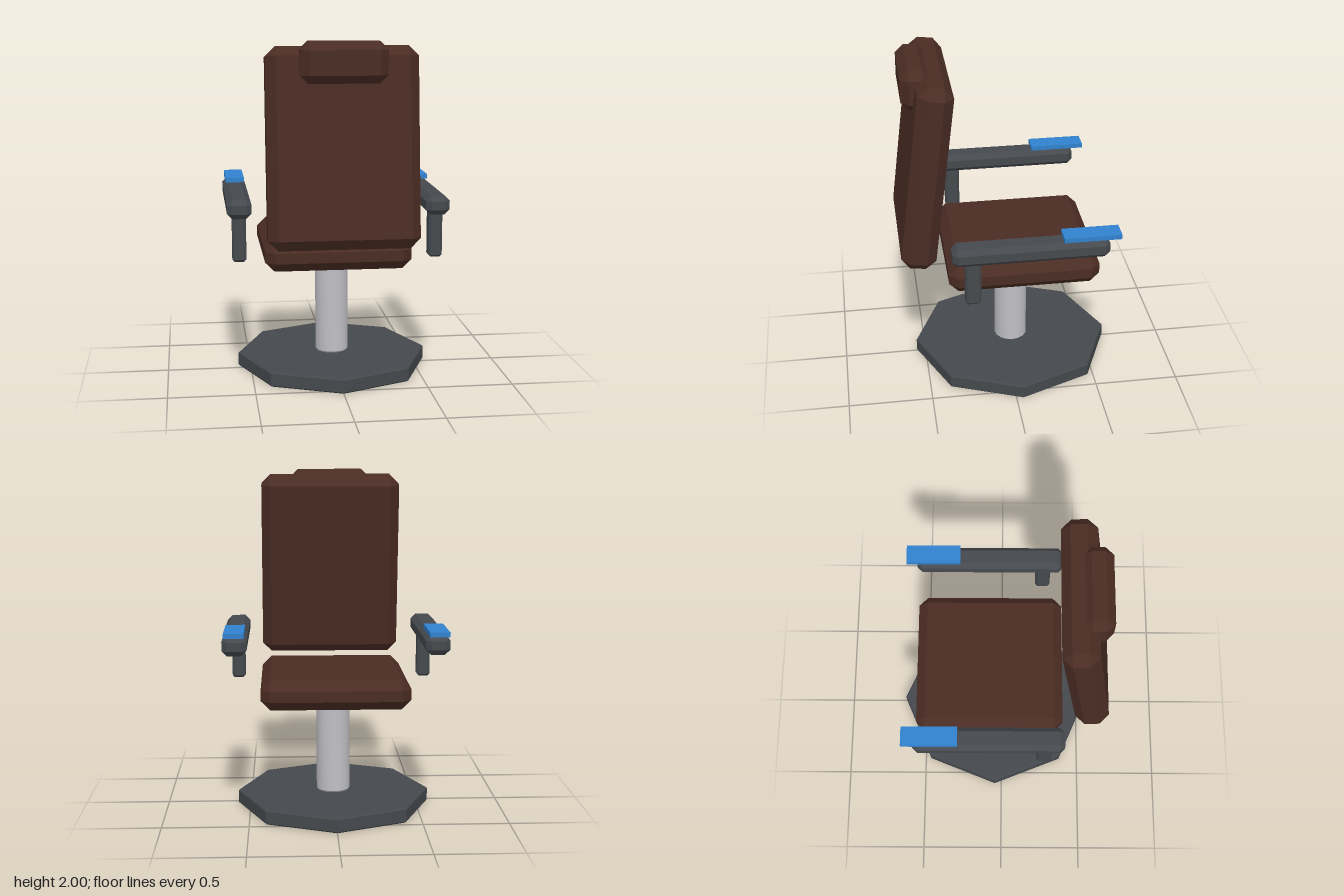
import * as THREE from 'three';
import { toCreasedNormals } from 'three/addons/utils/BufferGeometryUtils.js';
import { ConvexGeometry } from 'three/addons/geometries/ConvexGeometry.js';

const material = (name, color) => {
  const m = new THREE.MeshStandardMaterial({ color });
  m.name = name;
  return m;
};

// Box with every edge and corner cut flat by c
function chamferBox(w, h, d, c) {
  const x = w / 2, y = h / 2, z = d / 2, points = [];
  for (const sx of [-1, 1]) for (const sy of [-1, 1]) for (const sz of [-1, 1]) {
    points.push(
      new THREE.Vector3(sx * x, sy * (y - c), sz * (z - c)),
      new THREE.Vector3(sx * (x - c), sy * y, sz * (z - c)),
      new THREE.Vector3(sx * (x - c), sy * (y - c), sz * z));
  }
  return new ConvexGeometry(points);
}

// Upright prism with small bevels at both ends
function bevelPrism(r, y0, y1, bevel, sides, crease) {
  const profile = [[0, y0], [r - bevel, y0], [r, y0 + bevel], [r, y1 - bevel], [r - bevel, y1], [0, y1]]
    .map(([a, b]) => new THREE.Vector2(a, b));
  return toCreasedNormals(new THREE.LatheGeometry(profile, sides), crease);
}

export function createModel() {
  const leather = material('brown leather', 0x4a2c23);
  const frame = material('dark grey frame', 0x45494d);
  const metal = material('polished metal', 0xc0c0c5);
  const blue = material('blue panel', 0x3182ce);

  const model = new THREE.Group();
  model.name = 'chair';
  const add = (parent, name, geometry, mat, x = 0, y = 0, z = 0) => {
    const mesh = new THREE.Mesh(geometry, mat);
    mesh.name = name;
    mesh.position.set(x, y, z);
    parent.add(mesh);
    return mesh;
  };

  // Octagonal foot, slightly narrower across x, and its column
  const base = add(model, 'base', bevelPrism(0.598, 0, 0.087, 0.008, 8, 0.1), frame, 0, 0, -0.043);
  base.scale.x = 0.96;
  add(model, 'column', bevelPrism(0.1, 0.087, 0.675, 0.01, 16, Math.PI / 6), metal, 0, 0, -0.043);

  // Cushions
  add(model, 'seat', chamferBox(0.855, 0.172, 0.89, 0.055), leather, 0, 0.758, -0.073);
  const back = add(model, 'backrest', chamferBox(0.855, 1.127, 0.202, 0.056), leather, 0, 1.407, 0.48);
  back.rotation.x = -0.122;
  add(model, 'headrest', chamferBox(0.486, 0.23, 0.17, 0.046), leather, 0, 1.885, 0.513);

  // Armrests with control panels
  for (const side of [-1, 1]) {
    const arm = new THREE.Group();
    arm.name = side > 0 ? 'leftArm' : 'rightArm';
    arm.position.x = side * 0.573;
    add(arm, 'armPad', chamferBox(0.14, 0.111, 0.89, 0.03), frame, 0, 1.046, -0.073);
    add(arm, 'armPost', chamferBox(0.08, 0.29, 0.09, 0.014), frame, 0, 0.873, 0.255);
    add(arm, 'controlPanel', new THREE.BoxGeometry(0.113, 0.028, 0.327), blue, 0, 1.118, -0.417);
    model.add(arm);
  }
  return model;
}
